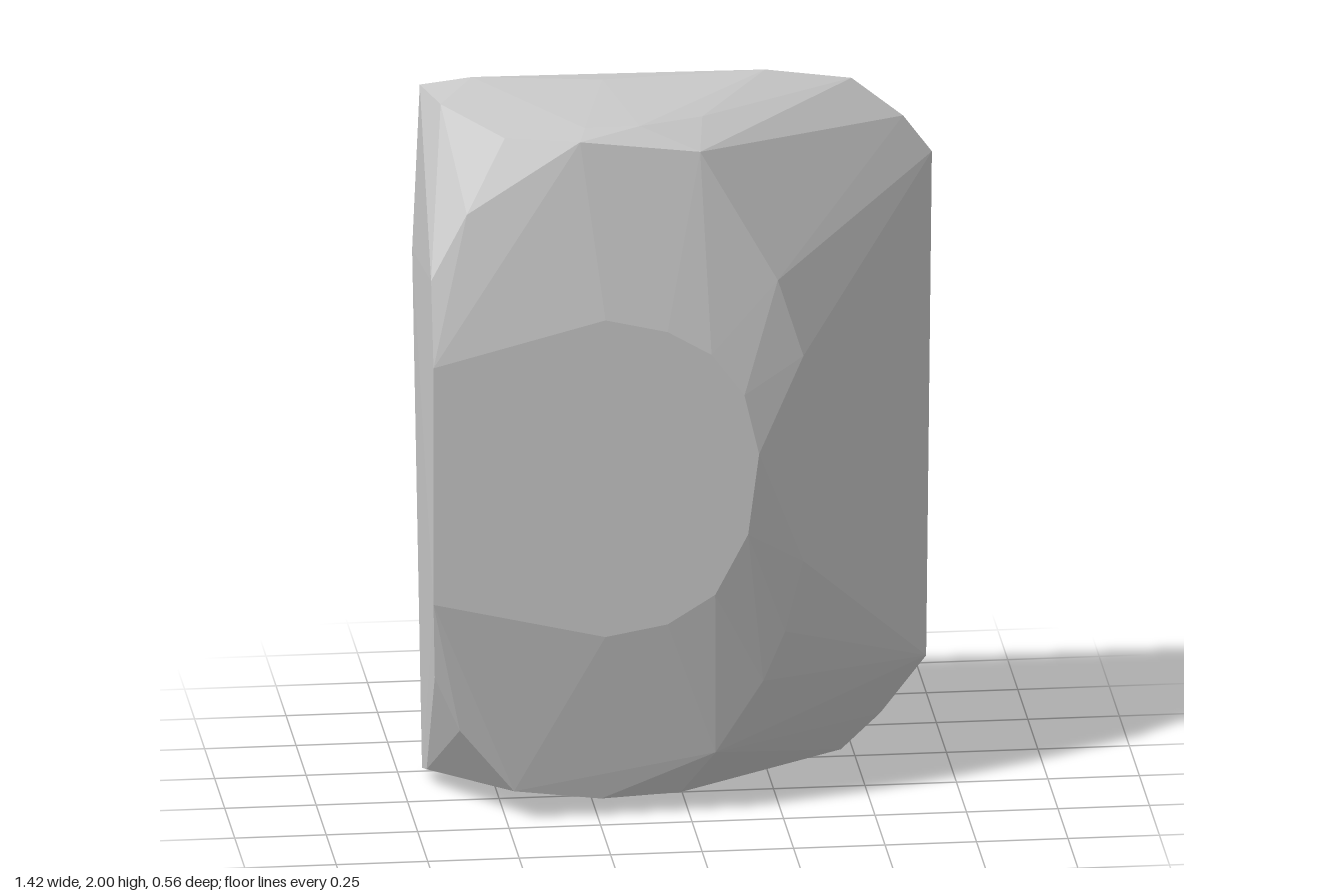
import * as THREE from 'three';
import { ConvexGeometry } from 'three/addons/geometries/ConvexGeometry.js';

// Places a list of [x, y] outline points at one depth
const ring = (z, pts) => pts.map(([x, y]) => new THREE.Vector3(x, y, z));
const free = (pts) => pts.map((p) => new THREE.Vector3(...p));

export function createModel() {
  const group = new THREE.Group();
  group.name = 'rock';
  const stone = new THREE.MeshStandardMaterial({ color: 0xc8c8c8 });
  stone.name = 'pale grey stone';

  // Flat front facet
  const face = ring(0.28, [
    [-0.71, 1.34], [-0.24, 1.46], [-0.07, 1.42], [0.05, 1.35], [0.14, 1.23], [0.18, 1.06],
    [0.15, 0.83], [0.06, 0.66], [-0.07, 0.58], [-0.24, 0.55], [-0.71, 0.66],
  ]);
  // Shoulder where the front slope meets the sides
  const shoulder = free([
    [0.03, 1.9, 0.18], [-0.3, 1.945, 0.195], [-0.5, 1.945, 0.14], [-0.61, 1.75, 0.2],
    [-0.71, 1.57, 0.22], [0.24, 1.53, 0.2], [0.31, 1.31, 0.2], [0.31, 0.72, 0.2],
    [0.26, 0.52, 0.2], [0.2, 0.38, 0.2], [0.07, 0.18, 0.2], [-0.02, 0.05, 0.145],
    [-0.24, 0.05, 0.175], [-0.48, 0.085, 0.19], [-0.63, 0.27, 0.205], [-0.7, 0.43, 0.22],
  ]);
  // Gently domed top
  const crown = free([
    [-0.28, 1.963, 0.13], [-0.13, 1.963, 0.13], [0.05, 1.957, 0.05],
    [0.25, 1.995, -0.21], [-0.2, 2, -0.16], [-0.55, 2, -0.22],
  ]);
  // Wide back slab with chipped corners
  const back = free([
    [0.71, 1.73, -0.247], [0.65, 1.73, -0.285], [0.63, 1.84, -0.235], [0.49, 1.95, -0.245],
    [0.35, 1.92, -0.277], [-0.69, 1.975, -0.245], [-0.65, 1.97, -0.09], [-0.71, 1.5, -0.253],
    [0.695, 0.28, -0.253], [0.57, 0.12, -0.253], [0.46, 0.025, -0.235], [0.1, 0, -0.2],
    [-0.3, 0, -0.18], [-0.685, 0.015, -0.235], [-0.685, 0.05, -0.12],
  ]);

  const body = new THREE.Mesh(new ConvexGeometry([...face, ...shoulder, ...crown, ...back]), stone);
  body.name = 'rockBody';
  group.add(body);
  return group;
}
